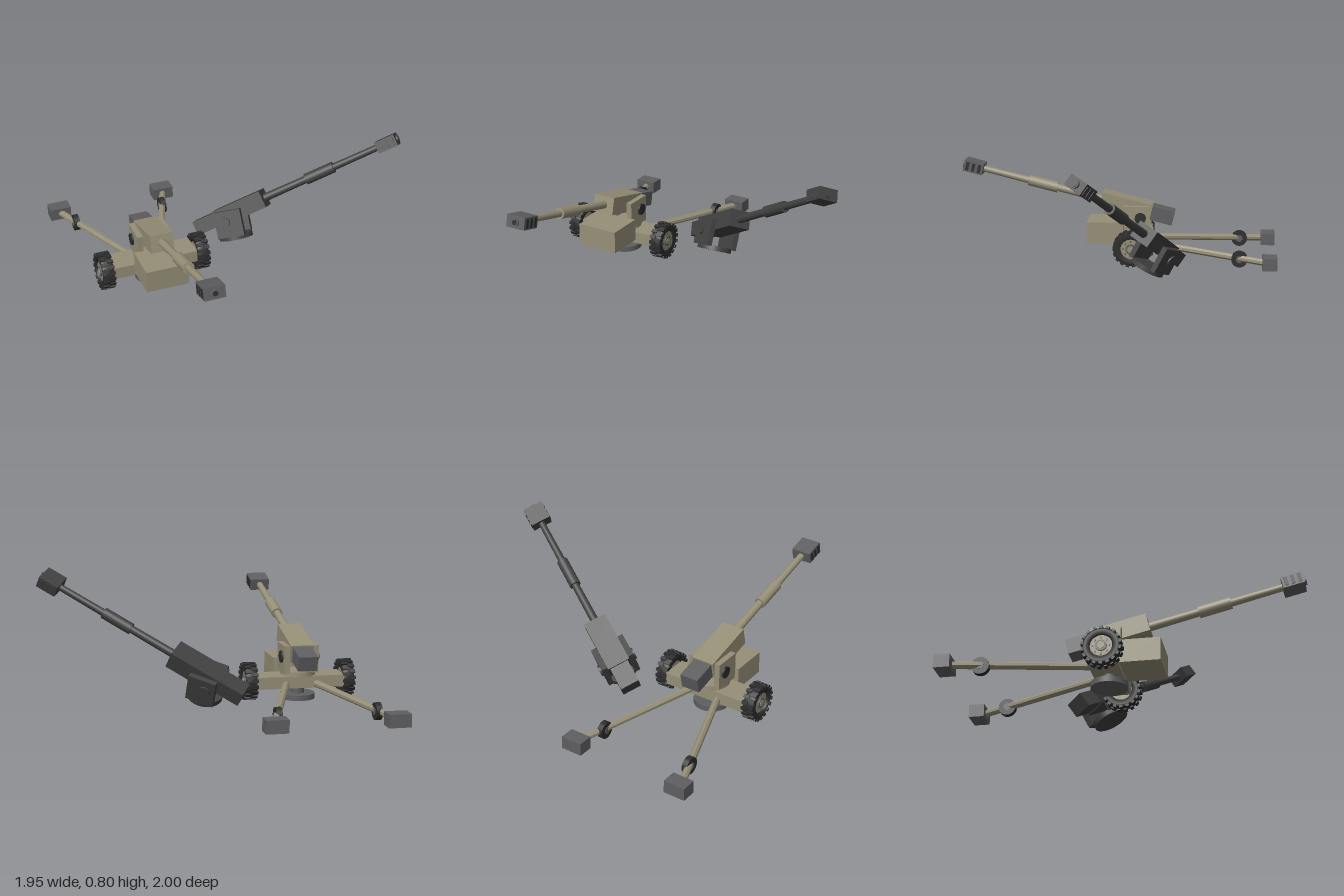
import * as THREE from 'three';

const mat = (name, color) => Object.assign(new THREE.MeshStandardMaterial({ color }), { name });
const tan = mat('khaki', 0x968f77);
const grey = mat('steel grey', 0x5f5f62);
const dark = mat('gunmetal', 0x414142);
const rubber = mat('rubber black', 0x2d2d2e);

function add(parent, name, geo, material, x = 0, y = 0, z = 0) {
  const m = new THREE.Mesh(geo, material);
  m.name = name;
  m.position.set(x, y, z);
  parent.add(m);
  return m;
}
const box = (w, h, d) => new THREE.BoxGeometry(w, h, d);
const alongX = (r, len, n = 28) => new THREE.CylinderGeometry(r, r, len, n).rotateZ(Math.PI / 2);
const alongZ = (rFront, rBack, len, n = 24) => new THREE.CylinderGeometry(rFront, rBack, len, n).rotateX(Math.PI / 2);

// Turntable, cheeks and the elevating gun
function makeUpperGun(body, metal, trunnionMat) {
  const g = new THREE.Group();
  g.name = 'upperGun';
  add(g, 'turntable', new THREE.CylinderGeometry(0.105, 0.105, 0.03, 32), body, 0, 0.163, -0.118);
  for (const s of [-1, 1]) {
    add(g, 'cheek', box(0.034, 0.165, 0.17), body, s * 0.088, 0.253, -0.12);
    add(g, 'trunnion', alongX(0.035, 0.012), trunnionMat, s * 0.11, 0.263, -0.145);
  }

  const e = new THREE.Group();
  e.name = 'elevatingGun';
  e.position.set(0, 0.455, 0.48);
  e.rotation.x = -0.239;
  g.add(e);
  add(e, 'cradle', box(0.14, 0.108, 0.33), body, 0, 0, -0.545);
  add(e, 'breech', box(0.115, 0.09, 0.15), metal, 0, 0, -0.78);
  add(e, 'barrel', alongZ(0.02, 0.025, 0.8), body, 0, 0, 0);
  add(e, 'barrelSleeve', alongZ(0.034, 0.034, 0.188), body);
  add(e, 'muzzleBrake', box(0.122, 0.072, 0.125), metal, 0, 0, 0.455);
  add(e, 'muzzleCollar', alongZ(0.024, 0.024, 0.012), metal, 0, 0, 0.522);
  add(e, 'bore', alongZ(0.015, 0.015, 0.002), trunnionMat, 0, 0, 0.5285);
  for (const s of [-1, 1])
    for (let i = -1; i <= 1; i++)
      add(e, 'brakeSlot', box(0.005, 0.052, 0.02), trunnionMat, s * 0.0625, 0, 0.455 + i * 0.038);
  return g;
}

// Treaded road wheel with its axle along x; side is the outer direction
function makeWheel(side) {
  const w = new THREE.Group();
  w.name = 'roadWheel';
  const profile = [[0.062, -0.03], [0.09, -0.036], [0.103, -0.03], [0.106, 0], [0.103, 0.03],
    [0.09, 0.036], [0.062, 0.03], [0.062, -0.03]].map(p => new THREE.Vector2(...p));
  add(w, 'tyre', new THREE.LatheGeometry(profile, 32).rotateZ(Math.PI / 2), rubber);
  const n = 18;
  for (const s of [-1, 1])
    for (let i = 0; i < n; i++) {
      const a = ((i + (s > 0 ? 0.5 : 0)) / n) * Math.PI * 2;
      const lug = add(w, 'treadLug', box(0.036, 0.014, 0.02), rubber,
        s * 0.02, Math.cos(a) * 0.105, Math.sin(a) * 0.105);
      lug.rotation.x = a;
    }
  add(w, 'rim', alongX(0.063, 0.05), tan);
  add(w, 'hubRing', alongX(0.032, 0.012), grey, side * 0.027);
  add(w, 'hubCap', alongX(0.02, 0.016), tan, side * 0.029);
  for (let i = 0; i < 8; i++) {
    const a = (i / 8) * Math.PI * 2;
    add(w, 'rimHole', alongX(0.006, 0.004, 8), grey, side * 0.026, Math.cos(a) * 0.047, Math.sin(a) * 0.047);
  }
  return w;
}

// Round eight-sided bar between two points
function makeBar(parent, name, a, b, r) {
  const d = b.clone().sub(a);
  const geo = new THREE.CylinderGeometry(r, r, d.length(), 8).toNonIndexed();
  geo.computeVertexNormals();
  const m = add(parent, name, geo, tan);
  m.position.copy(a).add(b).multiplyScalar(0.5);
  m.quaternion.setFromUnitVectors(new THREE.Vector3(0, 1, 0), d.normalize());
}

function makeCarriage() {
  const c = new THREE.Group();
  c.name = 'carriage';
  add(c, 'crossBeam', box(0.53, 0.072, 0.166), tan, 0, 0.115, -0.122);
  add(c, 'powerUnit', box(0.26, 0.136, 0.23), tan, 0, 0.168, 0.077);
  add(c, 'firingPlatform', new THREE.CylinderGeometry(0.105, 0.105, 0.032, 32), grey, 0, 0.02, -0.115);
  add(c, 'platformPost', new THREE.CylinderGeometry(0.04, 0.04, 0.05, 16), grey, 0, 0.06, -0.115);
  for (const s of [-1, 1]) {
    const wheel = makeWheel(s);
    wheel.position.set(s * 0.297, 0.114, -0.1);
    c.add(wheel);
    // Split trail with spade and small caster
    makeBar(c, 'trail', new THREE.Vector3(s * 0.085, 0.105, -0.18), new THREE.Vector3(s * 0.345, 0.052, -0.93), 0.021);
    add(c, 'spade', box(0.13, 0.076, 0.09), grey, s * 0.345, 0.052, -0.955);
    add(c, 'trailWheel', alongX(0.05, 0.034, 20), rubber, s * 0.287, 0.058, -0.77);
    add(c, 'trailWheelHub', alongX(0.022, 0.04, 16), grey, s * 0.287, 0.058, -0.77);
  }
  return c;
}

export function createModel() {
  const model = new THREE.Group();
  model.name = 'fieldGun';

  // Complete gun on its carriage
  const complete = new THREE.Group();
  complete.name = 'completeGun';
  complete.position.x = -0.562;
  complete.add(makeCarriage(), makeUpperGun(tan, grey, rubber));
  model.add(complete);

  // Detached dark gun, tipped over beside it
  const detached = makeUpperGun(dark, dark, dark);
  detached.name = 'detachedGun';
  const up = new THREE.Vector3(-0.03, 0.886, -0.46).normalize();
  const right = up.clone().cross(new THREE.Vector3(0.835, 0.278, 0.473)).normalize();
  const forward = right.clone().cross(up);
  detached.quaternion.setFromRotationMatrix(new THREE.Matrix4().makeBasis(right, up, forward));
  detached.position.set(0.13, -0.036, -0.094);
  model.add(detached);
  return model;
}
